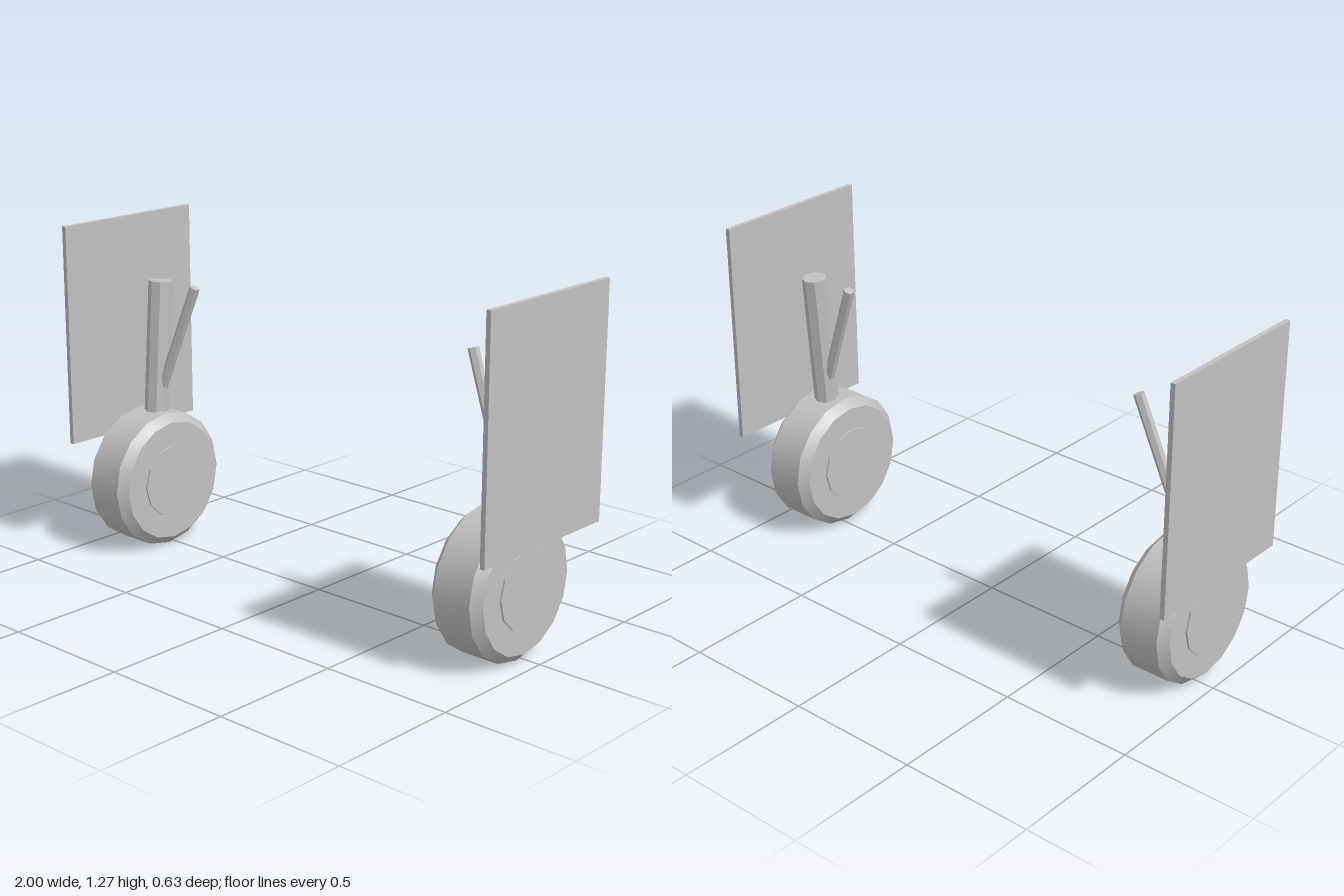
import * as THREE from 'three';
import { toCreasedNormals } from 'three/addons/utils/BufferGeometryUtils.js';

const grey = new THREE.MeshStandardMaterial({ color: 0xc0c0c0 });
grey.name = 'light grey';

function part(name, geometry) {
  const mesh = new THREE.Mesh(toCreasedNormals(geometry, 0.5), grey);
  mesh.name = name;
  return mesh;
}

// Straight rod between two points
function rod(name, from, to, radius, sides) {
  const dir = to.clone().sub(from);
  const mesh = part(name, new THREE.CylinderGeometry(radius, radius, dir.length(), sides));
  mesh.position.copy(from).add(to).multiplyScalar(0.5);
  mesh.quaternion.setFromUnitVectors(new THREE.Vector3(0, 1, 0), dir.normalize());
  return mesh;
}

// One landing leg; side is +1 for left, -1 for right
function landingLeg(side) {
  const leg = new THREE.Group();
  leg.name = side > 0 ? 'leftLandingLeg' : 'rightLandingLeg';
  const x = side * 0.847;
  const axle = new THREE.Vector3(x, 0.265, 0.026);

  // Tyre with chamfered shoulders
  const profile = [[0, -0.106], [0.232, -0.106], [0.264, -0.074], [0.264, 0.074], [0.232, 0.106], [0, 0.106]]
    .map(([r, y]) => new THREE.Vector2(r, y));
  const tyre = part('tyre', new THREE.LatheGeometry(profile, 16).rotateZ(Math.PI / 2));
  tyre.position.copy(axle);

  // Hub standing slightly proud on both sides
  const hub = part('hub', new THREE.CylinderGeometry(0.144, 0.144, 0.226, 12).rotateZ(Math.PI / 2));
  hub.position.copy(axle);

  // Main strut leaning back, and an inward side brace
  const strut = rod('strut', axle, new THREE.Vector3(x, 1.03, -0.03), 0.047, 8);
  const brace = rod('sideBrace', new THREE.Vector3(x, 0.55, 0.003),
    new THREE.Vector3(side * 0.663, 1.028, -0.033), 0.02, 6);

  // Flat gear door outside the wheel
  const door = part('gearDoor', new THREE.BoxGeometry(0.018, 0.842, 0.632));
  door.position.set(side * 0.991, 0.847, 0.002);

  leg.add(tyre, hub, strut, brace, door);
  return leg;
}

export function createModel() {
  const model = new THREE.Group();
  model.name = 'landingGear';
  model.add(landingLeg(1), landingLeg(-1));
  return model;
}
